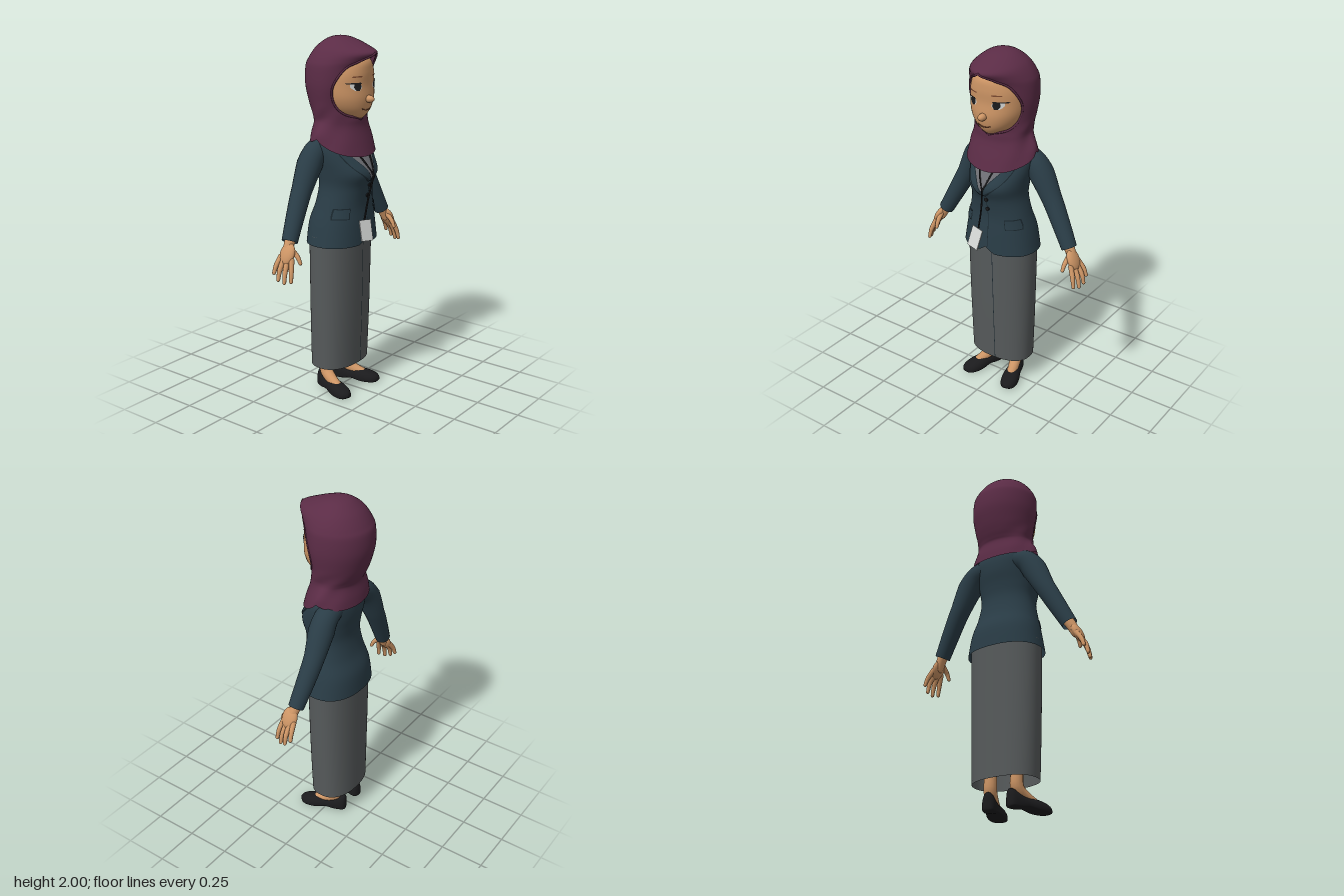
import * as THREE from 'three';
import { mergeVertices, mergeGeometries } from 'three/addons/utils/BufferGeometryUtils.js';

const V = (x, y, z) => new THREE.Vector3(x, y, z);
const mat = (name, color, side = THREE.FrontSide) => {
  const m = new THREE.MeshStandardMaterial({ color, side });
  m.name = name;
  return m;
};

// Smoothly interpolated row of numbers at fractional index t
function sample(rows, t) {
  const n = rows.length - 1, i = Math.min(n - 1, Math.floor(t)), f = t - i;
  const [a, b, c, d] = [rows[Math.max(0, i - 1)], rows[i], rows[i + 1], rows[Math.min(n, i + 2)]];
  return b.map((p, k) => p + 0.5 * f * (c[k] - a[k] +
    f * (2 * a[k] - 5 * p + 4 * c[k] - d[k] + f * (3 * (p - c[k]) + d[k] - a[k]))));
}

// Row at a given height (first column)
function rowAt(rows, y) {
  let lo = 0, hi = rows.length - 1;
  for (let i = 0; i < 24; i++) {
    const m = (lo + hi) / 2;
    if (sample(rows, m)[0] < y) lo = m; else hi = m;
  }
  return sample(rows, lo);
}

// Surface through cross-sections; point(row, u) gives [x, y, z]
function loft(rows, point, segU = 40, perRow = 5) {
  const pos = [], idx = [], nv = (rows.length - 1) * perRow, s = segU + 1;
  for (let j = 0; j <= nv; j++) {
    const row = sample(rows, j / perRow);
    for (let i = 0; i <= segU; i++) pos.push(...point(row, i / segU));
  }
  for (let j = 0; j < nv; j++) for (let i = 0; i < segU; i++) {
    const a = j * s + i;
    idx.push(a, a + s, a + 1, a + 1, a + s, a + s + 1);
  }
  let g = new THREE.BufferGeometry();
  g.setAttribute('position', new THREE.Float32BufferAttribute(pos, 3));
  g.setIndex(idx);
  g = mergeVertices(g, 1e-5);
  g.computeVertexNormals();
  return g;
}

// Horizontal body section, row = [y, halfWidth, zBack, zFront, zMiddle, roundness]
function section([y, w, zb, zf, zm, n], u) {
  const a = (u * 2 - 1) * Math.PI, s = Math.sin(a), c = Math.cos(a);
  return [w * Math.sign(s) * Math.abs(s) ** n, y, zm + ((c > 0 ? zb : zf) - zm) * Math.abs(c) ** n];
}
const frontZ = (rows, x, y) => {
  const [, w, , zf, zm, n] = rowAt(rows, y);
  return zm + (zf - zm) * Math.max(0, 1 - Math.abs(x / w) ** (2 / n)) ** (n / 2);
};
// Thin patch on the front of a body; edges = [y, xMin, xMax], bottom to top
const patch = (rows, edges, off, s = 1) => loft(
  edges.map(([y, l, r]) => (s > 0 ? [y, l, r] : [y, -r, -l])),
  ([y, l, r], u) => { const x = r + (l - r) * u; return [x, y, frontZ(rows, x, y) + off]; }, 8, 3);

// Tapered tube with rounded ends
function limb(points, radii, caps = true, seg = 14) {
  const curve = new THREE.CatmullRomCurve3(points), n = 24;
  const g = new THREE.TubeGeometry(curve, n, 1, seg), p = g.attributes.position, v = V(0, 0, 0);
  const rad = (t) => {
    const k = t * (radii.length - 1), i = Math.min(radii.length - 2, Math.floor(k));
    return radii[i] + (radii[i + 1] - radii[i]) * (k - i);
  };
  for (let i = 0; i <= n; i++) for (let j = 0; j <= seg; j++) {
    const id = i * (seg + 1) + j, c = curve.getPointAt(i / n);
    v.fromBufferAttribute(p, id).sub(c).multiplyScalar(rad(i / n)).add(c);
    p.setXYZ(id, v.x, v.y, v.z);
  }
  if (!caps) return g;
  const ends = [0, 1].map((t) => {
    const c = curve.getPointAt(t);
    return new THREE.SphereGeometry(rad(t), 12, 8).translate(c.x, c.y, c.z);
  });
  return mergeGeometries([g, ...ends]);
}

const JACKET = [
  [0.88, 0.22, -0.175, 0.155, -0.01, 0.88], [1.0, 0.2, -0.165, 0.15, -0.01, 0.9], [1.1, 0.176, -0.13, 0.145, 0, 0.92],
  [1.2, 0.158, -0.112, 0.16, 0, 0.95], [1.28, 0.166, -0.12, 0.188, 0, 0.97], [1.36, 0.18, -0.138, 0.145, 0, 1],
  [1.43, 0.185, -0.14, 0.1, -0.02, 1], [1.48, 0.155, -0.125, 0.07, -0.03, 1], [1.53, 0.08, -0.09, 0.03, -0.03, 1]];
const SKIRT = [[0.155, 0.188, -0.15, 0.1, -0.02, 0.85], [0.5, 0.199, -0.15, 0.112, -0.02, 0.87], [0.93, 0.208, -0.15, 0.122, -0.02, 0.9]];
const HEAD = [
  [1.56, 0.02, -0.02, 0.1, 0, 1], [1.58, 0.075, -0.06, 0.132, 0, 1], [1.62, 0.122, -0.1, 0.155, 0, 0.95], [1.68, 0.15, -0.13, 0.165, 0, 0.92],
  [1.75, 0.158, -0.15, 0.16, 0, 0.92], [1.82, 0.153, -0.15, 0.163, 0, 0.95], [1.88, 0.125, -0.13, 0.15, 0, 1], [1.93, 0.05, -0.05, 0.08, 0, 1]];
// [y, halfWidth, zBack, zFront, openingHalfWidth, point, frontDip, backDip]
const SCARF = [
  [1.47, 0.207, -0.158, 0.162, 0, 1, 0.1, 0.04], [1.5, 0.196, -0.152, 0.142, 0, 1, 0.06, 0.02], [1.54, 0.173, -0.14, 0.118, 0, 1, 0.02, 0],
  [1.565, 0.165, -0.148, 0.115, 0, 1, 0, 0], [1.6, 0.168, -0.165, 0.11, 0.1, 1, 0, 0], [1.66, 0.178, -0.187, 0.1, 0.146, 1, 0, 0],
  [1.75, 0.19, -0.208, 0.125, 0.163, 1, 0, 0], [1.84, 0.187, -0.205, 0.148, 0.125, 1.05, 0, 0], [1.88, 0.175, -0.188, 0.178, 0.068, 1.15, 0, 0],
  [1.92, 0.152, -0.162, 0.208, 0, 1.3, 0, 0], [1.95, 0.125, -0.135, 0.15, 0, 1.2, 0, 0], [1.98, 0.082, -0.095, 0.07, 0, 1.05, 0, 0],
  [1.994, 0.045, -0.06, 0.02, 0, 1, 0, 0], [2, 0, -0.02, -0.02, 0, 1, 0, 0]];
function scarfPoint([y, w, zb, zf, e, p, fd, bd], u) {
  const open = Math.min(1, Math.max(0, e) / Math.max(w, 0.001)) ** (1 / p);
  const a = (u * 2 - 1) * (Math.PI - Math.asin(open)), s = Math.sin(a), c = Math.cos(a);
  const fold = 1 + 0.022 * Math.max(0, Math.min(1, (1.66 - y) / 0.08)) * Math.sin(a) ** 2 * Math.sin(6 * a + y * 45);
  const x = w * fold * Math.sign(s) * Math.abs(s) ** (c < 0 ? p : 1);
  const z = -0.02 + ((c > 0 ? zb : zf) + 0.02) * Math.abs(c) * fold;
  return [x, y - (c < 0 ? fd : bd) * Math.abs(c) ** 0.7, z];
}

export function createModel() {
  const model = new THREE.Group();
  const D = THREE.DoubleSide;
  const scarf = mat('plum scarf', 0x5b2c46, D), jacket = mat('navy jacket', 0x2a3d47, D), trim = mat('dark navy trim', 0x1a272e, D);
  const skirt = mat('grey skirt', 0x565a5b, D), shirt = mat('grey shirt', 0x6c6d72, D), skin = mat('skin', 0xcd9565);
  const black = mat('black', 0x1b1b1d, D), white = mat('white', 0xd6d8d6, D), brown = mat('brown', 0x7d4a30, D);
  const add = (name, geo, m, parent = model) => {
    const mesh = new THREE.Mesh(geo, m);
    mesh.name = name;
    parent.add(mesh);
    return mesh;
  };

  // Head scarf with rolled rim around the face
  add('headScarf', loft(SCARF, scarfPoint, 56, 5), scarf);
  const rim = [];
  for (let i = 0; i <= 24; i++) rim.push(V(...scarfPoint(sample(SCARF, 3 + i * 0.25), 0)));
  for (let i = 23; i > 0; i--) rim.push(V(...scarfPoint(sample(SCARF, 3 + i * 0.25), 1)));
  add('scarfRim', new THREE.TubeGeometry(new THREE.CatmullRomCurve3(rim, true), 90, 0.006, 6, true), scarf);

  // Head and face
  add('head', loft(HEAD, section, 40, 5), skin);
  add('nose', new THREE.SphereGeometry(1, 16, 12).scale(0.021, 0.02, 0.03).translate(0, 1.678, 0.172), skin);
  const smile = [-0.04, -0.02, 0, 0.02, 0.04].map((x) => {
    const y = 1.619 + x * x * 6;
    return V(x, y, frontZ(HEAD, x, y) + 0.001);
  });
  add('mouth', new THREE.TubeGeometry(new THREE.CatmullRomCurve3(smile), 16, 0.003, 6), brown);
  for (const s of [1, -1]) {
    add('eyeWhite', patch(HEAD, [[1.727, 0.06, 0.085], [1.745, 0.046, 0.106], [1.762, 0.055, 0.108]], 0.002, s), white);
    add('iris', patch(HEAD, [[1.727, 0.062, 0.08], [1.745, 0.052, 0.091], [1.764, 0.056, 0.088]], 0.004, s), black);
    add('eyelashes', patch(HEAD, [[1.762, 0.05, 0.122], [1.769, 0.056, 0.13]], 0.005, s), black);
    add('eyebrow', patch(HEAD, [[1.796, 0.045, 0.1], [1.803, 0.045, 0.095]], 0.002, s), brown);
  }

  // Jacket with a rounded notch at the front hem
  add('jacket', loft(JACKET, (r, u) => {
    const [x, y, z] = section(r, u);
    const lift = z > 0 ? 0.035 * Math.exp(-((x / 0.03) ** 2)) * Math.max(0, Math.min(1, (1 - y) / 0.12)) : 0;
    return [x, y + lift, z];
  }, 64), jacket);
  add('shirt', patch(JACKET, [[1.25, 0.005, 0.015], [1.32, -0.05, 0.06], [1.4, -0.115, 0.115]], 0.003), shirt);
  add('frontSeam', patch(JACKET, [[0.92, 0.01, 0.014], [1.1, 0.014, 0.018], [1.25, 0.01, 0.014]], 0.003), trim);
  for (const s of [1, -1]) {
    add('lapelEdge', patch(JACKET, [[1.235, -0.004, 0.02], [1.3, 0.026, 0.092], [1.345, 0.062, 0.125], [1.39, 0.1, 0.146]], 0.005, s), trim);
    add('lapel', patch(JACKET, [[1.245, 0, 0.016], [1.3, 0.031, 0.087], [1.345, 0.067, 0.12], [1.39, 0.104, 0.142]], 0.008, s), jacket);
    add('pocketEdge', patch(JACKET, [[1.034, 0.112, 0.183], [1.06, 0.108, 0.178], [1.095, 0.104, 0.168]], 0.005, s), trim);
    add('pocketFlap', patch(JACKET, [[1.04, 0.115, 0.18], [1.06, 0.112, 0.176], [1.09, 0.108, 0.167]], 0.009, s), jacket);
  }
  for (const y of [1.15, 1.21]) {
    add('button', new THREE.CylinderGeometry(0.011, 0.011, 0.008, 16).rotateX(Math.PI / 2)
      .translate(0.015, y, frontZ(JACKET, 0.015, y) + 0.004), black);
  }

  // Lanyard and badge
  for (const s of [1, -1]) {
    const neck = [[0.05 * s, 1.4], [0.03 * s + 0.004, 1.34], [0.01, 1.27]].map(([x, y]) => V(x, y, frontZ(JACKET, x, y) + 0.008));
    add('lanyardNeck', new THREE.TubeGeometry(new THREE.CatmullRomCurve3(neck), 12, 0.005, 6), black);
  }
  const strap = [V(0.01, 1.27, 0.198), V(0, 1.2, 0.185), V(-0.015, 1.12, 0.175), V(-0.035, 1.025, 0.17)];
  add('lanyardStrap', new THREE.TubeGeometry(new THREE.CatmullRomCurve3(strap), 16, 0.005, 6), black);
  const badge = add('badge', new THREE.BoxGeometry(0.08, 0.115, 0.006), white);
  badge.position.set(-0.045, 0.97, 0.188);
  badge.rotation.set(-0.3, -0.2, -0.15);

  // Skirt with a front seam
  add('skirt', loft(SKIRT, section, 56, 6).translate(-0.004, 0, 0), skirt);
  add('skirtSeam', patch(SKIRT, [[0.157, 0.022, 0.026], [0.5, 0.02, 0.024], [0.9, 0.016, 0.02]], 0.002), trim);

  for (const s of [1, -1]) {
    const side = s > 0 ? 'left' : 'right';
    const P = (x, y, z) => V(x * s, y, z);

    // Sleeve
    add(side + 'Sleeve', limb([P(0.11, 1.42, -0.06), P(0.178, 1.385, -0.06), P(0.285, 1.2, -0.062), P(0.35, 1.08, -0.052), P(0.417, 0.955, -0.038)],
      [0.06, 0.07, 0.056, 0.05, 0.043], false, 20), jacket);

    // Hand
    const fingers = [
      [P(0.462, 0.875, 0.012), P(0.485, 0.815, 0.028), P(0.495, 0.768, 0.034)],
      [P(0.467, 0.87, -0.012), P(0.498, 0.81, -0.004), P(0.51, 0.76, 0)],
      [P(0.47, 0.872, -0.035), P(0.505, 0.82, -0.034), P(0.518, 0.772, -0.034)],
      [P(0.466, 0.885, -0.056), P(0.498, 0.84, -0.064), P(0.512, 0.802, -0.068)],
      [P(0.436, 0.925, -0.012), P(0.432, 0.885, 0.03), P(0.43, 0.855, 0.045)]];
    const palm = new THREE.SphereGeometry(1, 20, 14).scale(0.024, 0.062, 0.046).rotateZ(s * 0.45).translate(s * 0.455, 0.9, -0.023);
    const wrist = limb([P(0.405, 0.98, -0.038), P(0.428, 0.94, -0.034), P(0.448, 0.9, -0.028)], [0.031, 0.028, 0.026]);
    add(side + 'Hand', mergeGeometries([palm, wrist, ...fingers.map((f) => limb(f, [0.015, 0.0135, 0.01], true, 10))]), skin);

    // Leg and shoe, toes turned outwards
    const foot = new THREE.Group();
    foot.name = side + 'Foot';
    foot.position.set(s * 0.1 - 0.012, 0, 0);
    foot.rotation.y = s * 0.32;
    model.add(foot);
    add(side + 'Leg', limb([V(0, 0.45, -0.06), V(0, 0.2, -0.06), V(0, 0.105, -0.055), V(0, 0.066, 0), V(0, 0.045, 0.055)],
      [0.046, 0.04, 0.033, 0.036, 0.028]), skin, foot);
    // [z, halfWidth, top, bottom]
    const shoe = [[-0.118, 0, 0.06, 0.03], [-0.114, 0.02, 0.092, 0.004], [-0.095, 0.034, 0.1, 0], [-0.05, 0.039, 0.08, 0.002], [0, 0.041, 0.068, 0.01],
      [0.06, 0.05, 0.066, 0.001], [0.115, 0.047, 0.055, 0], [0.15, 0.03, 0.042, 0.003], [0.166, 0, 0.025, 0.015]];
    add(side + 'Shoe', loft(shoe, ([z, w, t, b], u) => {
      const a = u * 2 * Math.PI, c = Math.cos(a), k = Math.sin(a), mid = b + (t - b) * 0.3;
      return [w * Math.sign(c) * Math.abs(c) ** 0.8, mid + (k > 0 ? (t - mid) * k : -(mid - b) * Math.abs(k) ** 0.4), z];
    }, 32, 4), black, foot);
  }
  return model;
}
